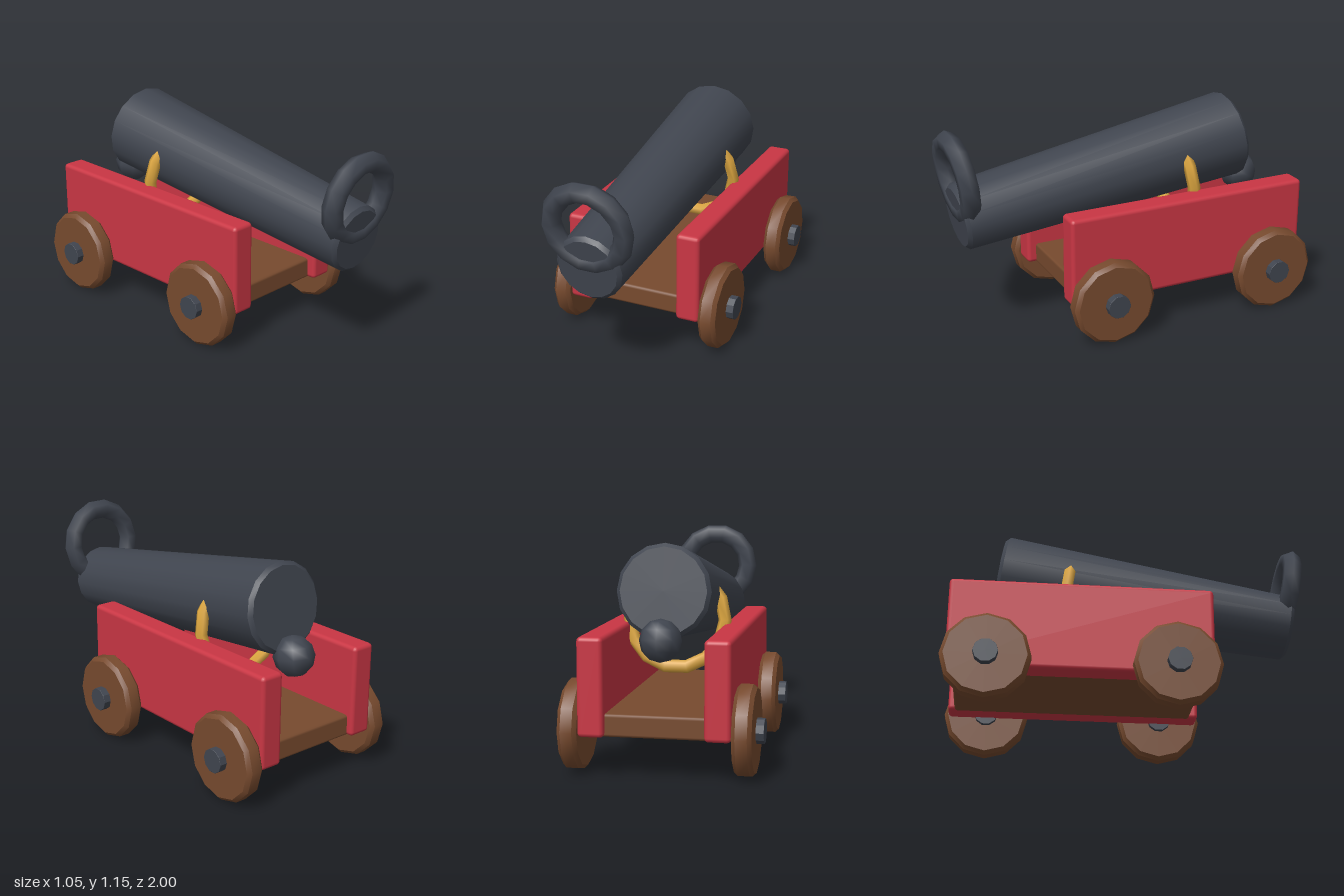
import * as THREE from 'three';
import { toCreasedNormals } from 'three/addons/utils/BufferGeometryUtils.js';
import { RoundedBoxGeometry } from 'three/addons/geometries/RoundedBoxGeometry.js';

const material = (name, color) => {
  const m = new THREE.MeshStandardMaterial({ color });
  m.name = name;
  return m;
};

// Solid turned around y from y = 0 to length, with chamfered rims
function turned(r0, r1, length, bevel, sides) {
  const points = [
    [0, 0], [r0 - bevel, 0], [r0, bevel],
    [r1, length - bevel], [r1 - bevel, length], [0, length],
  ].map(([x, y]) => new THREE.Vector2(x, y));
  return toCreasedNormals(new THREE.LatheGeometry(points, sides), 0.6);
}

export function createModel() {
  const iron = material('dark iron', 0x40454f);
  const red = material('red paint', 0xc93644);
  const wood = material('brown wood', 0x774a2e);
  const brass = material('brass', 0xdba53f);
  const model = new THREE.Group();
  model.name = 'cannon';
  const tilt = 0.14;

  function add(name, geometry, mat, x, y, z, parent = model) {
    const mesh = new THREE.Mesh(geometry, mat);
    mesh.name = name;
    mesh.position.set(x, y, z);
    parent.add(mesh);
    return mesh;
  }

  // Barrel, narrow at the muzzle and wide at the raised breech
  const barrel = add('barrel', turned(0.183, 0.243, 1.665, 0.02, 16), iron, 0, 0.682, 0.933);
  barrel.rotation.x = tilt - Math.PI / 2;

  // Ring standing on the muzzle
  add('muzzleRing', new THREE.TorusGeometry(0.2, 0.055, 6, 14), iron, 0, 0.904, 0.923).rotation.x = tilt;

  // Knob below the breech
  add('breechKnob', new THREE.SphereGeometry(0.11, 8, 6), iron, 0, 0.675, -0.785).rotation.x = tilt;

  // Brass hoop carrying the barrel
  add('barrelHoop', new THREE.TorusGeometry(0.257, 0.035, 6, 14), brass, 0, 0.727, -0.352).rotation.x = tilt;

  // Carriage floor
  add('carriageFloor', new RoundedBoxGeometry(0.56, 0.115, 1.33, 1, 0.015), wood, 0, 0.2675, -0.275);

  // Carriage sides, wheels and axle stubs
  const panel = new RoundedBoxGeometry(0.133, 0.5, 1.415, 2, 0.022);
  const wheel = turned(0.235, 0.235, 0.1, 0.02, 12);
  const stub = turned(0.065, 0.065, 0.165, 0.001, 10);
  for (const [side, s] of [['left', 1], ['right', -1]]) {
    add(side + 'Panel', panel, red, s * 0.317, 0.46, -0.268);
    for (const [end, z] of [['Front', 0.23], ['Rear', -0.765]]) {
      const group = new THREE.Group();
      group.name = side + end + 'Wheel';
      group.position.set(s * 0.36, 0.235, z);
      group.rotation.z = -s * Math.PI / 2;
      add('wheelDisc', wheel, wood, 0, 0.024, 0, group);
      add('axleStub', stub, iron, 0, 0, 0, group);
      model.add(group);
    }
  }
  return model;
}
